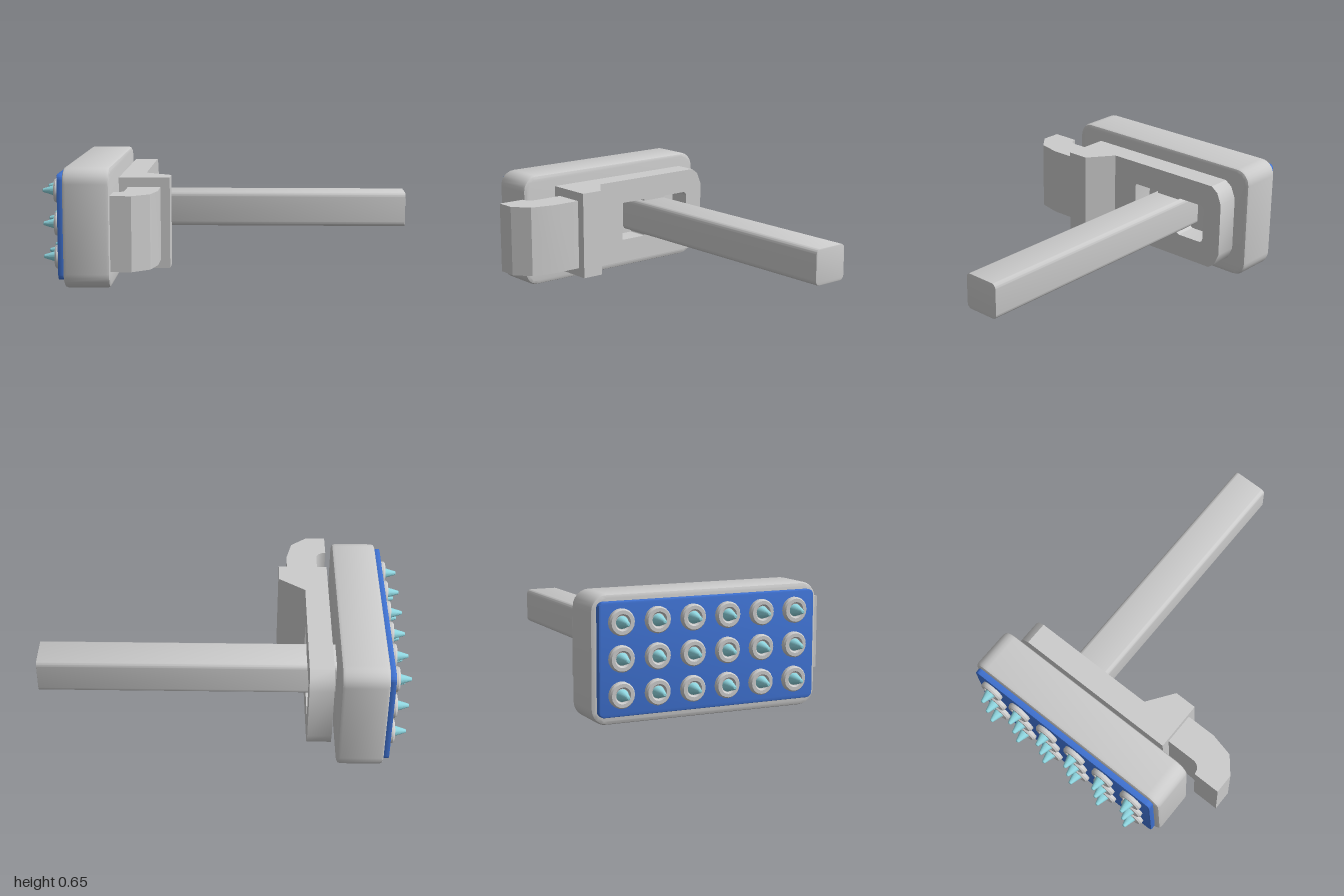
import * as THREE from 'three';
import { toCreasedNormals } from 'three/addons/utils/BufferGeometryUtils.js';

const grey = new THREE.MeshStandardMaterial({ color: 0xcccccc });
const blue = new THREE.MeshStandardMaterial({ color: 0x3f72d2 });
const teal = new THREE.MeshStandardMaterial({ color: 0x8fd6e0 });

function part(name, geometry, material = grey, crease = 0.6) {
  const mesh = new THREE.Mesh(toCreasedNormals(geometry, crease), material);
  mesh.name = name;
  return mesh;
}

// Rounded rectangle in the side plane, u = -z and v = y
function roundedRect(target, z0, z1, y0, y1, r) {
  const u0 = -z1, u1 = -z0;
  target.moveTo(u0 + r, y0);
  target.lineTo(u1 - r, y0);
  target.absarc(u1 - r, y0 + r, r, -Math.PI / 2, 0);
  target.lineTo(u1, y1 - r);
  target.absarc(u1 - r, y1 - r, r, 0, Math.PI / 2);
  target.lineTo(u0 + r, y1);
  target.absarc(u0 + r, y1 - r, r, Math.PI / 2, Math.PI);
  target.lineTo(u0, y0 + r);
  target.absarc(u0 + r, y0 + r, r, Math.PI, Math.PI * 1.5);
  return target;
}

// Side-plane shape swept along x from x0 to x1
function extrudeX(shape, x0, x1, bevel = 0, curveSegments = 4) {
  const g = new THREE.ExtrudeGeometry(shape, {
    depth: x1 - x0 - 2 * bevel, curveSegments, bevelEnabled: bevel > 0,
    bevelThickness: bevel, bevelSize: bevel, bevelOffset: -bevel, bevelSegments: 2,
  });
  return g.rotateY(Math.PI / 2).translate(x0 + bevel, 0, 0);
}

// Plan-view outline given as [x, z] points, swept up from y0 to y1
function extrudeY(points, y0, y1) {
  const shape = new THREE.Shape(points.map(([x, z]) => new THREE.Vector2(x, -z)));
  const g = new THREE.ExtrudeGeometry(shape, { depth: y1 - y0, bevelEnabled: false });
  return g.rotateX(-Math.PI / 2).translate(0, y0, 0);
}

export function createModel() {
  const model = new THREE.Group();
  model.name = 'clampHeadWithRod';

  // Head block and the blue pad on its outer face
  model.add(part('headBlock',
    extrudeX(roundedRect(new THREE.Shape(), -0.725, 0.545, 0, 0.65, 0.085), -0.875, -0.625, 0.02, 3)));
  model.add(part('pad',
    extrudeX(roundedRect(new THREE.Shape(), -0.695, 0.51, 0.045, 0.615, 0.03), -0.907, -0.87, 0.006), blue));

  // Rod with rounded edges
  model.add(part('rod',
    extrudeX(roundedRect(new THREE.Shape(), -0.38, -0.17, 0.235, 0.435, 0.028), -0.64, 1, 0.004)));

  // Lever plate: chamfered rear corners and a window either side of the rod
  const plate = new THREE.Shape([
    [-0.12, 0.085], [0.59, 0.085], [0.63, 0.115], [0.657, 0.18],
    [0.657, 0.485], [0.63, 0.55], [0.59, 0.58], [-0.12, 0.58],
  ].map(([u, v]) => new THREE.Vector2(u, v)));
  plate.holes.push(
    roundedRect(new THREE.Path(), -0.21, -0.04, 0.22, 0.445, 0.006),
    roundedRect(new THREE.Path(), -0.54, -0.35, 0.22, 0.445, 0.025));
  model.add(part('leverPlate', extrudeX(plate, -0.595, -0.465)));

  // Thick sloped end of the lever
  model.add(part('leverWedge', extrudeY([
    [-0.595, 0.12], [-0.595, 0.35], [-0.32, 0.35], [-0.32, 0.225], [-0.465, 0.12],
  ], 0.085, 0.58)));

  // Hook curling back towards the head
  const hook = [[-0.545, 0.34], [-0.545, 0.52]];
  for (let i = 1; i <= 4; i++) {
    const a = (i / 4) * Math.PI / 2;
    hook.push([-0.595 + 0.05 * Math.cos(a), 0.52 + 0.05 * Math.sin(a)]);
  }
  hook.push([-0.6, 0.57], [-0.6, 0.725], [-0.49, 0.725], [-0.4, 0.65], [-0.37, 0.52], [-0.37, 0.34]);
  model.add(part('hook', extrudeY(hook, 0.135, 0.53)));

  // Grid of spikes, each seated in a dished collar; lathe axis turned to -x
  const lathe = (pts) => new THREE.LatheGeometry(pts.map(([r, h]) => new THREE.Vector2(r, h)), 20)
    .rotateZ(Math.PI / 2);
  const collar = lathe([[0.067, 0], [0.067, 0.02], [0.06, 0.03], [0.042, 0.03], [0.034, 0.018], [0, 0.018]]);
  const spike = lathe([[0.033, 0.012], [0.029, 0.03], [0.01, 0.092], [0.006, 0.095], [0, 0.095]]);
  for (let row = 0; row < 3; row++) {
    for (let col = 0; col < 6; col++) {
      const nozzle = new THREE.Group();
      nozzle.name = 'spikeUnit';
      nozzle.add(part('collar', collar), part('spike', spike, teal));
      nozzle.position.set(-0.905, 0.155 + row * 0.18, -0.58 + col * 0.194);
      model.add(nozzle);
    }
  }
  return model;
}
